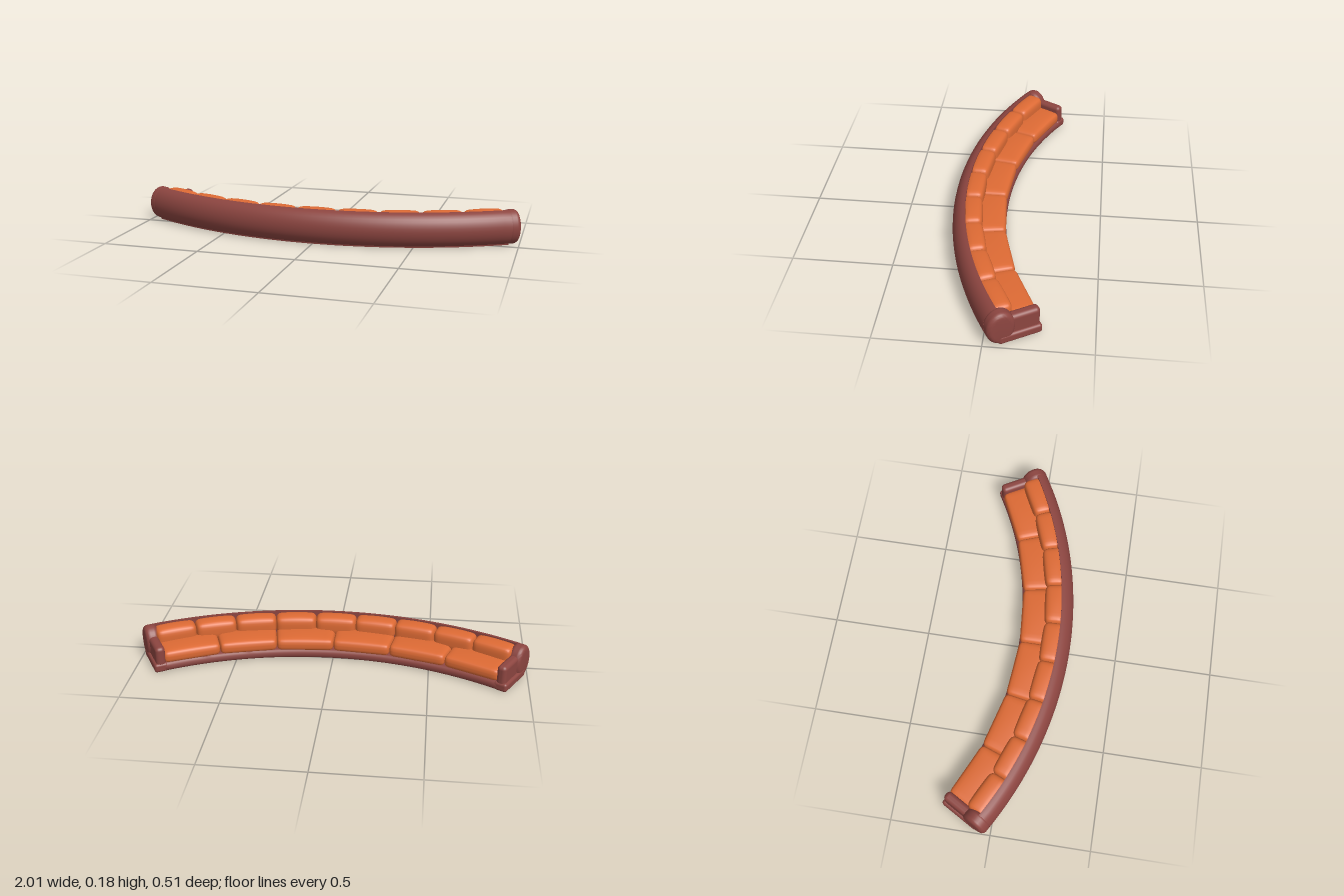
import * as THREE from 'three';
import { mergeVertices, toCreasedNormals } from 'three/addons/utils/BufferGeometryUtils.js';
import { RoundedBoxGeometry } from 'three/addons/geometries/RoundedBoxGeometry.js';

const CENTRE_Z = -1.695;                          // centre of the sofa's arc
const HALF = THREE.MathUtils.degToRad(29.8);      // half the arc

export function createModel() {
  const model = new THREE.Group();
  model.name = 'curvedSofa';
  const arc = new THREE.Group();
  arc.name = 'arc';
  arc.position.z = CENTRE_Z;
  model.add(arc);

  const frameMat = new THREE.MeshStandardMaterial({ color: 0x8c4540 });
  frameMat.name = 'maroon upholstery';
  frameMat.side = THREE.DoubleSide;
  const cushionMat = new THREE.MeshStandardMaterial({ color: 0xdd6a34 });
  cushionMat.name = 'orange cushion';

  const add = (parent, name, geometry, material) => {
    const mesh = new THREE.Mesh(geometry, material);
    mesh.name = name;
    parent.add(mesh);
    return mesh;
  };

  // Sweep a profile of [radius, height] points along the arc
  const sweep = (name, points) => {
    const pts = points.map(([r, y]) => new THREE.Vector2(r, y));
    const g = new THREE.LatheGeometry(pts, 48, -HALF, 2 * HALF);
    return add(arc, name, toCreasedNormals(g, 0.7), frameMat);
  };

  // Rounded backrest, flat on its inner side
  const back = [[1.885, 0], [1.908, 0]];
  for (let i = 0; i <= 14; i++) {
    const a = THREE.MathUtils.degToRad(-68 + i * 158 / 14);
    back.push([1.885 + 0.065 * Math.cos(a), 0.0875 + 0.0865 * Math.sin(a)]);
  }
  back.push([1.885, 0]);
  sweep('backrest', back);

  // Front rail of the plinth and the underside between rail and back
  sweep('frontRail', [[1.735, 0], [1.697, 0], [1.687, 0.004], [1.681, 0.014], [1.681, 0.032],
    [1.687, 0.042], [1.697, 0.047], [1.735, 0.047], [1.735, 0]].reverse());
  sweep('underside', [[1.72, 0.04], [1.888, 0.04]]);

  // Pillow-shaped block bent along the arc
  const cushion = (mid, span, r0, r1, y0, y1, edge) => {
    const rm = (r0 + r1) / 2, half = [span * rm / 2, (y1 - y0) / 2, (r1 - r0) / 2];
    let g = new THREE.BoxGeometry(2, 2, 2, 16, 10, 10);
    g.deleteAttribute('uv');
    g.deleteAttribute('normal');
    g = mergeVertices(g);
    const p = g.attributes.position;
    const v = new THREE.Vector3(), core = new THREE.Vector3();
    for (let i = 0; i < p.count; i++) {
      v.fromBufferAttribute(p, i);
      // gather the grid towards the edges, then round them
      const q = v.toArray().map((c, k) => Math.sin(c * Math.PI / 2) * half[k]);
      v.fromArray(q);
      core.fromArray(q.map((c, k) => THREE.MathUtils.clamp(c, edge - half[k], half[k] - edge)));
      v.sub(core);
      if (v.length() > 0) v.setLength(edge);
      v.add(core);
      // gentle swell in the middle
      const u = v.x / half[0], w = v.z / half[2];
      v.y += v.y > 0 ? 0.007 * ((1 - u * u) * (1 - w * w) - 1) : 0;
      v.z -= v.z < 0 ? 0.006 * (1 - u * u) - 0.006 : 0;
      const a = mid + v.x / rm, r = rm + v.z;
      p.setXYZ(i, r * Math.sin(a), (y0 + y1) / 2 + v.y, r * Math.cos(a));
    }
    g.computeVertexNormals();
    return g;
  };

  const row = (name, count, ...dims) => {
    const span = 2 * HALF / count;
    for (let i = 0; i < count; i++) {
      add(arc, name + (i + 1), cushion(-HALF + (i + 0.5) * span, span, ...dims), cushionMat);
    }
  };
  row('seatCushion', 6, 1.68, 1.845, 0.04, 0.112, 0.025);
  row('backCushion', 9, 1.798, 1.9, 0.075, 0.174, 0.028);

  // End of the sofa: oval cap, arm panel and plinth end
  const oval = new THREE.Shape().absellipse(0, 0, 0.046, 0.0635, 0, Math.PI * 2);
  const capGeo = new THREE.ExtrudeGeometry(oval, {
    depth: 0.02, bevelThickness: 0.024, bevelSize: 0.024, bevelSegments: 5, curveSegments: 20,
  });
  capGeo.translate(0, 0, -0.01);
  capGeo.rotateY(Math.PI / 2);
  const cap = toCreasedNormals(capGeo, 0.7);
  const panel = new RoundedBoxGeometry(0.05, 0.115, 0.18, 4, 0.02);
  const plinth = new RoundedBoxGeometry(0.072, 0.047, 0.215, 4, 0.014);

  for (const s of [-1, 1]) {
    const end = new THREE.Group();
    end.name = s > 0 ? 'leftArm' : 'rightArm';
    end.rotation.y = s * HALF;
    arc.add(end);
    add(end, 'backrestCap', cap, frameMat).position.set(s * 0.018, 0.0875, 1.88);
    add(end, 'armPanel', panel, frameMat).position.set(s * 0.016, 0.0785, 1.776);
    add(end, 'plinthEnd', plinth, frameMat).position.set(s * 0.018, 0.0235, 1.789);
  }
  return model;
}
